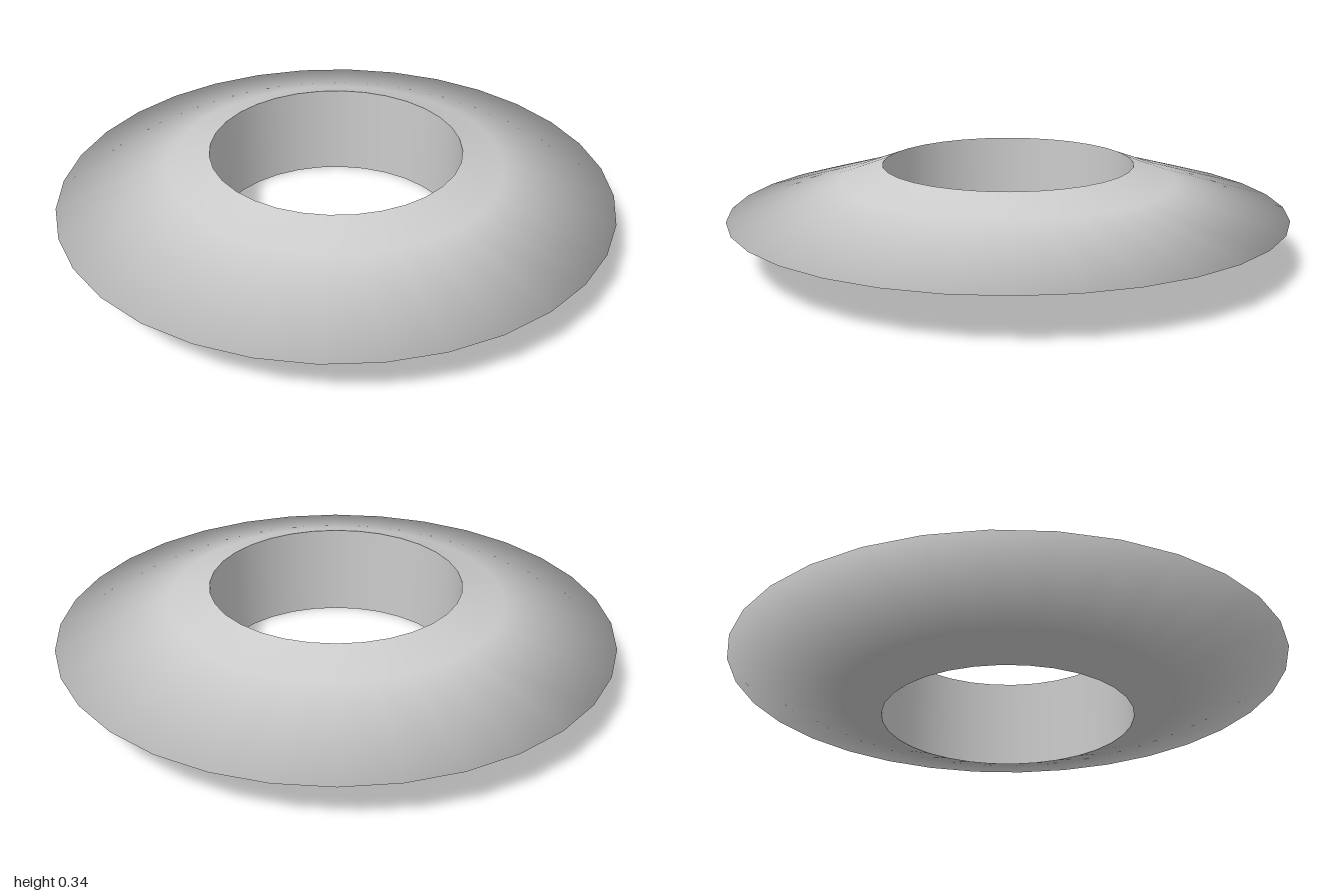
import * as THREE from 'three';

const SIDES = 32;
const HOLE = 0.45;
const HEIGHT = 0.34;

function lathe(name, points, material) {
  const geometry = new THREE.LatheGeometry(points.map(([r, y]) => new THREE.Vector2(r, y)), SIDES);
  const mesh = new THREE.Mesh(geometry, material);
  mesh.name = name;
  return mesh;
}

export function createModel() {
  const group = new THREE.Group();
  group.name = 'throwingRing';
  const material = new THREE.MeshStandardMaterial({ color: 0xcccccc });

  // Bevelled blade: both slopes meet at a thin rim, shaded smoothly across it
  group.add(lathe('blade', [
    [HOLE, 0],
    [0.6, 0.055],
    [1, HEIGHT / 2],
    [0.6, HEIGHT - 0.055],
    [HOLE, HEIGHT],
  ], material));

  // Straight wall of the central hole, facing inwards
  group.add(lathe('holeWall', [[HOLE, HEIGHT], [HOLE, 0]], material));

  return group;
}
